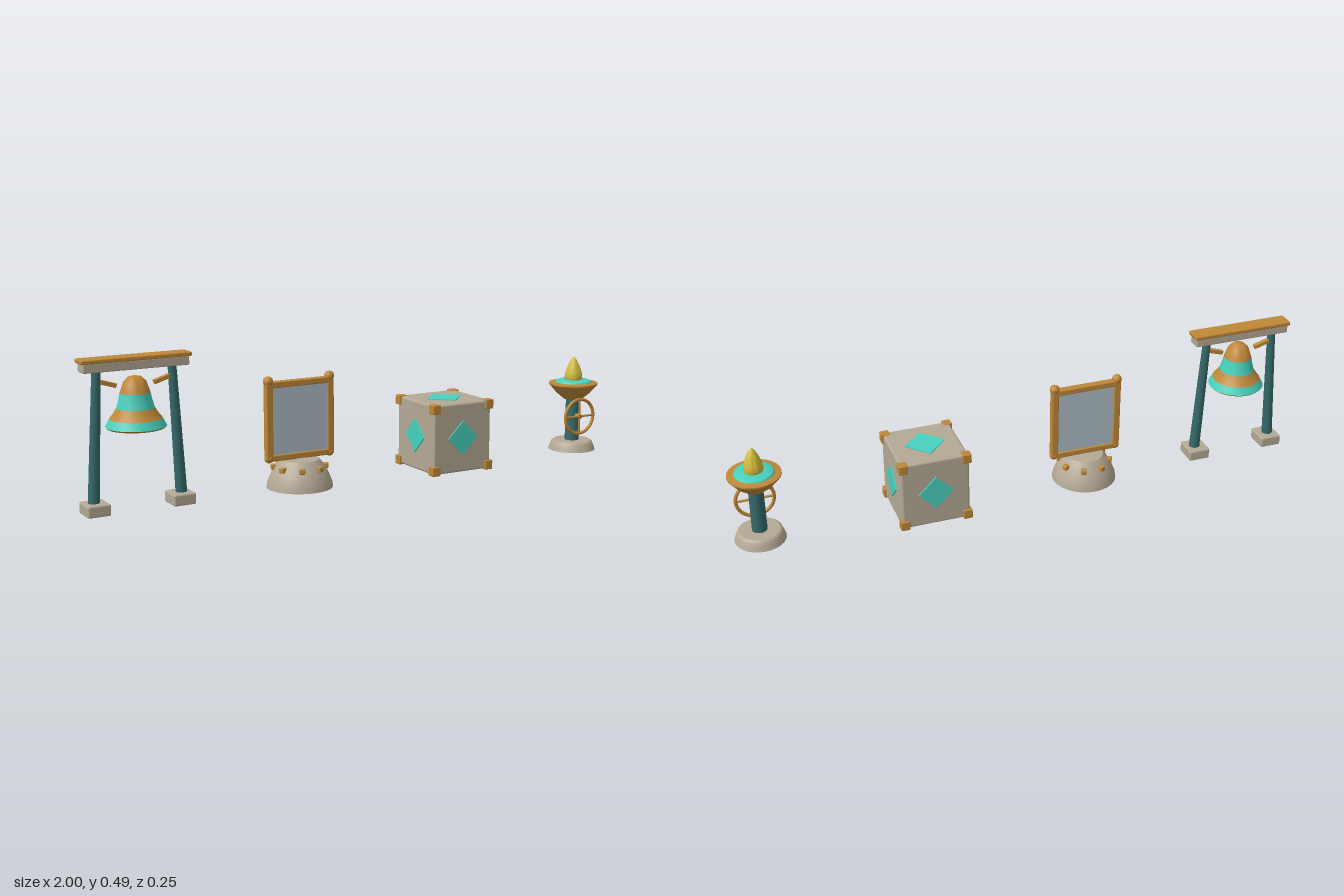
import * as THREE from 'three';
import { toCreasedNormals } from 'three/addons/utils/BufferGeometryUtils.js';
import { RoundedBoxGeometry } from 'three/addons/geometries/RoundedBoxGeometry.js';

const mat = (name, color) => {
  const m = new THREE.MeshStandardMaterial({ color });
  m.name = name;
  return m;
};

export function createModel() {
  const stone = mat('stone', 0xb5a995);
  const bronze = mat('bronze', 0xbf8838);
  const teal = mat('teal', 0x48d1bd);
  const deepTeal = mat('deep teal', 0x35696a);
  const gold = mat('gold', 0xd2bc3c);
  const glass = mat('mirror glass', 0xadbdc6);

  const model = new THREE.Group();
  const group = (name, x) => {
    const g = new THREE.Group();
    g.name = name;
    g.position.x = x;
    model.add(g);
    return g;
  };
  const add = (parent, name, geo, material, x = 0, y = 0, z = 0) => {
    const m = new THREE.Mesh(geo, material);
    m.name = name;
    m.position.set(x, y, z);
    parent.add(m);
    return m;
  };
  const box = (w, h, d, r = 0.004) => new RoundedBoxGeometry(w, h, d, 2, r);
  const ball = (r) => new THREE.SphereGeometry(r, 16, 12);
  // Turned profile, listed from bottom to top
  const lathe = (pts, seg = 28) => toCreasedNormals(
    new THREE.LatheGeometry(pts.map(([r, y]) => new THREE.Vector2(r, y)), seg), 0.6);
  // Tapered round bar between two points
  const bar = (parent, name, a, b, r0, r1, material, sides = 14) => {
    const p = new THREE.Vector3(...a), q = new THREE.Vector3(...b);
    const m = add(parent, name, new THREE.CylinderGeometry(r1, r0, p.distanceTo(q), sides), material);
    m.position.copy(p).lerp(q, 0.5);
    m.quaternion.setFromUnitVectors(new THREE.Vector3(0, 1, 0), q.sub(p).normalize());
    return m;
  };

  // Bell gate
  const gate = group('bellGate', -0.818);
  add(gate, 'topPlank', box(0.364, 0.014, 0.06), bronze, 0, 0.484);
  add(gate, 'crossBeam', box(0.35, 0.03, 0.05), stone, 0, 0.464);
  for (const s of [-1, 1]) {
    add(gate, 'foot', box(0.076, 0.038, 0.084, 0.006), stone, s * 0.143, 0.019);
    bar(gate, 'post', [s * 0.147, 0.03, 0], [s * 0.125, 0.455, 0], 0.019, 0.014, deepTeal);
    const strut = add(gate, 'strut', box(0.066, 0.014, 0.016, 0.002), bronze, s * 0.094, 0.41);
    strut.rotation.z = s * 0.3;
  }

  // Bell made of coloured bands
  const bell = group('bell', -0.818);
  add(bell, 'bellRim', lathe([[0, 0.262], [0.091, 0.262], [0.096, 0.267]]), bronze);
  add(bell, 'lowerBand', lathe([[0.096, 0.267], [0.083, 0.292]]), teal);
  add(bell, 'flare', lathe([[0.083, 0.292], [0.07, 0.308], [0.06, 0.325]]), bronze);
  add(bell, 'upperBand', lathe([[0.06, 0.325], [0.053, 0.35], [0.048, 0.373]]), teal);
  add(bell, 'crown', lathe([[0.048, 0.373], [0.036, 0.408], [0.021, 0.423], [0, 0.428]]), bronze);
  add(bell, 'clapper', ball(0.017), teal, 0, 0.262);

  // Standing mirror
  const mirror = group('mirror', -0.243);
  add(mirror, 'mirrorBase', lathe([[0, 0], [0.112, 0], [0.109, 0.018], [0.096, 0.05],
    [0.078, 0.08], [0.066, 0.095], [0, 0.1]]), stone);
  for (let i = 0; i < 8; i++) {
    const a = (i + 0.5) * Math.PI / 4;
    const stud = add(mirror, 'stud', box(0.02, 0.018, 0.02), bronze,
      Math.sin(a) * 0.087, 0.07, Math.cos(a) * 0.087);
    stud.rotation.y = a;
  }
  for (const s of [-1, 1]) {
    add(mirror, 'frameSide', box(0.024, 0.26, 0.026), bronze, s * 0.114, 0.232);
    add(mirror, 'topFinial', ball(0.017), bronze, s * 0.114, 0.366);
    add(mirror, 'bottomKnob', ball(0.015), bronze, s * 0.114, 0.107);
  }
  for (const y of [0.108, 0.354]) add(mirror, 'frameRail', box(0.23, 0.021, 0.026), bronze, 0, y);
  add(mirror, 'mirrorGlass', new THREE.BoxGeometry(0.214, 0.236, 0.012), glass, 0, 0.231);

  // Cornered cube with diamond plates
  const cube = group('cube', 0.333);
  add(cube, 'cubeBody', box(0.235, 0.244, 0.235, 0.008), stone, 0, 0.125);
  for (const x of [-1, 1]) for (const y of [-1, 1]) for (const z of [-1, 1])
    add(cube, 'corner', box(0.031, 0.033, 0.031, 0.003), bronze,
      x * 0.109, 0.125 + y * 0.1085, z * 0.109);
  const diamond = (side) => new THREE.BoxGeometry(side, side, 0.008).rotateZ(Math.PI / 4);
  for (let i = 0; i < 4; i++) {
    const a = i * Math.PI / 2;
    add(cube, 'sideDiamond', diamond(0.085), teal,
      Math.sin(a) * 0.118, 0.125, Math.cos(a) * 0.118).rotation.y = a;
  }
  add(cube, 'topDiamond', diamond(0.1), teal, 0, 0.246).rotation.x = -Math.PI / 2;

  // Flame lamp
  const lamp = group('lamp', 0.906);
  add(lamp, 'lampBase', lathe([[0, 0], [0.086, 0], [0.082, 0.012], [0.075, 0.03],
    [0.068, 0.035], [0, 0.035]]), stone);
  add(lamp, 'column', new THREE.CylinderGeometry(0.025, 0.026, 0.165, 20), deepTeal, 0, 0.113);
  add(lamp, 'bowl', lathe([[0, 0.19], [0.034, 0.19], [0.062, 0.213], [0.089, 0.245],
    [0.089, 0.25], [0.066, 0.253]]), bronze);
  add(lamp, 'bowlFill', lathe([[0.068, 0.25], [0.064, 0.257], [0.05, 0.262], [0, 0.262]]), teal);
  add(lamp, 'flame', lathe([[0.03, 0.26], [0.033, 0.268], [0.03, 0.288], [0.021, 0.314],
    [0.009, 0.337], [0, 0.347]]), gold);

  // Spoked wheel on the column's front
  const wheel = new THREE.Group();
  wheel.name = 'wheel';
  wheel.position.set(0, 0.128, 0.041);
  lamp.add(wheel);
  add(wheel, 'wheelRim', new THREE.TorusGeometry(0.064, 0.006, 10, 32), bronze);
  bar(wheel, 'spoke', [-0.064, 0, 0], [0.064, 0, 0], 0.004, 0.004, bronze, 8);
  bar(wheel, 'spoke', [0, -0.064, 0], [0, 0.064, 0], 0.004, 0.004, bronze, 8);
  bar(wheel, 'hub', [0, 0, -0.018], [0, 0, 0.006], 0.009, 0.009, bronze);

  return model;
}
